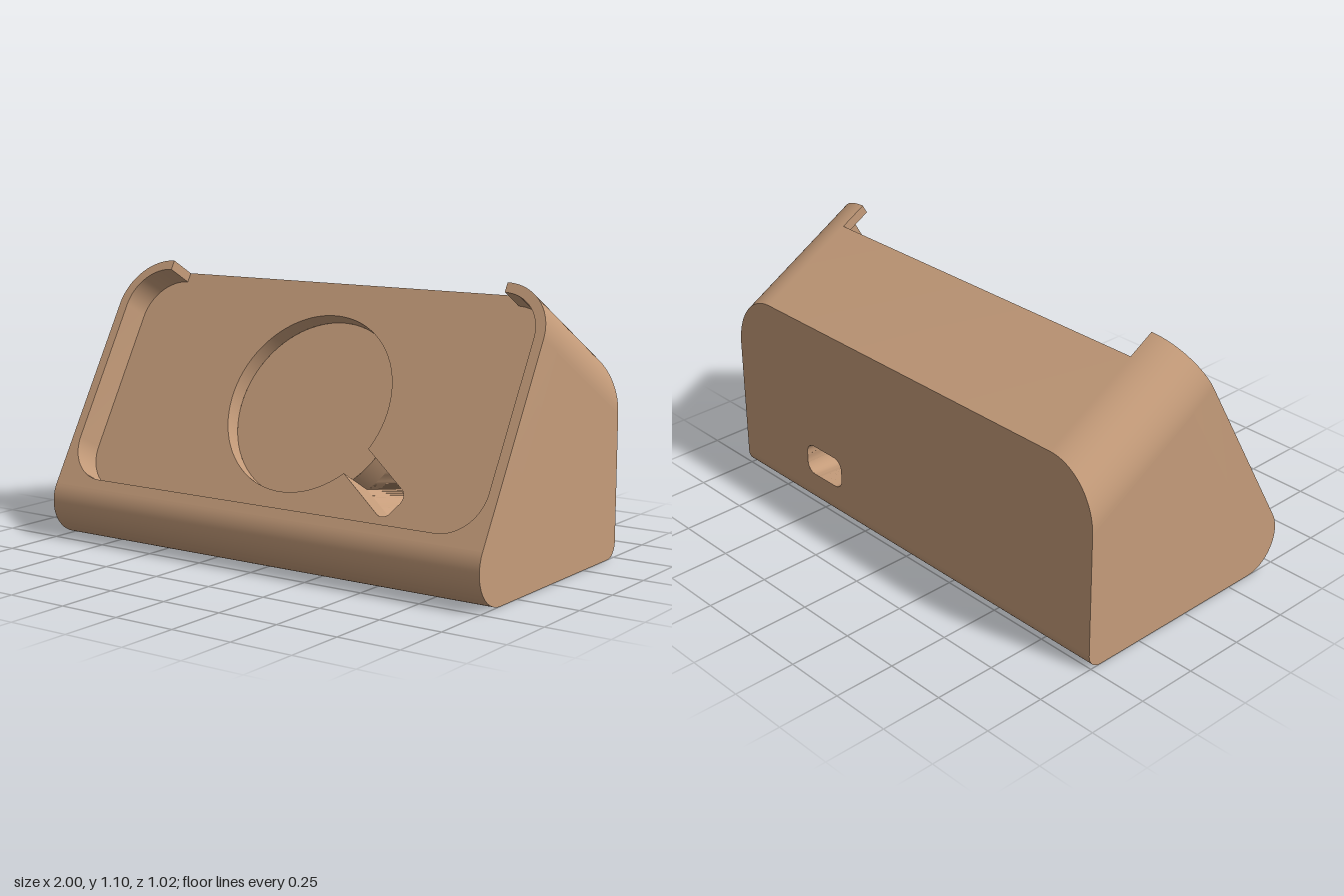
import * as THREE from 'three';
import { toCreasedNormals } from 'three/addons/utils/BufferGeometryUtils.js';

const TILT = Math.PI / 6, C = Math.cos(TILT), S = Math.sin(TILT);
const TOP_Y = 1.095, TOP_Z = -0.015, BACK_Z = -0.51;   // top front edge, back plane
const R = 0.21, WALL = 0.04, LEDGE = -1.01;            // corner radius, lip wall, lower end of the slope
const POCKET = 0.12, DISC = 0.19, SLOT = 0.3;          // depths below the sloping front
const V2 = (x, y) => new THREE.Vector2(x, y);

// point on the sloping front: x, v up the slope, d depth into the body
const onSlope = (x, v, d) => new THREE.Vector3(x, TOP_Y + C * v - S * d, TOP_Z - S * v - C * d);
const atDepth = (pts, d) => pts.map(p => onSlope(p.x, p.y, d));

function arc(cx, cy, r, a0, a1, n = 24) {
  return Array.from({ length: n + 1 }, (_, i) => {
    const a = a0 + (a1 - a0) * i / n;
    return V2(cx + r * Math.cos(a), cy + r * Math.sin(a));
  });
}

// ruled surface between two rows of points
function strip(a, b) {
  const pos = [], index = [], n = a.length;
  for (const p of [...a, ...b]) pos.push(p.x, p.y, p.z);
  for (let i = 0; i < n - 1; i++) index.push(i, i + 1, n + i, i + 1, n + i + 1, n + i);
  const g = new THREE.BufferGeometry();
  g.setAttribute('position', new THREE.Float32BufferAttribute(pos, 3));
  g.setIndex(index);
  return toCreasedNormals(g, 0.5);
}

export function createModel() {
  const model = new THREE.Group();
  model.name = 'phoneStand';
  const tan = new THREE.MeshStandardMaterial({ color: 0xc59c7a, side: THREE.DoubleSide });
  tan.name = 'tan';
  const front = new THREE.Group();
  front.name = 'slopingFront';
  front.position.set(0, TOP_Y, TOP_Z);
  front.rotation.x = -TILT;
  model.add(front);
  const add = (name, geometry, parent = model) => {
    const mesh = new THREE.Mesh(geometry, tan);
    mesh.name = name;
    parent.add(mesh);
    return mesh;
  };

  const PI = Math.PI, e = 1 - R, ri = R - WALL, low = -0.97 + ri;
  const topRight = arc(e, -R, R, 0, PI / 2), topLeft = arc(-e, -R, R, PI / 2, PI);
  const topOutline = [...topRight, ...topLeft];

  // raised lip around the pocket, open at the top
  const lip = new THREE.Shape([
    V2(-1, LEDGE), V2(1, LEDGE), ...topRight,
    ...arc(e, -R, ri, PI / 2, 0), ...arc(e, low, ri, 0, -PI / 2),
    ...arc(-e, low, ri, -PI / 2, -PI), ...arc(-e, -R, ri, PI, PI / 2),
    ...topLeft
  ]);
  const lipGeo = new THREE.ExtrudeGeometry(lip, { depth: POCKET, bevelEnabled: false });
  lipGeo.translate(0, 0, -POCKET);
  add('lip', toCreasedNormals(lipGeo, 0.5), front);

  // charger recess and cable slot, drawn along the slot and then turned
  const cv = -0.505, r = 0.368, w = 0.065, end = 0.64, f = 0.04, turn = -35 * PI / 180;
  const b = Math.asin(w / r);
  const place = pts => pts.map(p => p.clone().rotateAround(V2(0, 0), turn).add(V2(0, cv)));
  const rim = place(arc(0, 0, r, b, 2 * PI - b, 72));
  const slotSides = place([
    V2(r * Math.cos(b), -w), ...arc(end - f, -w + f, f, -PI / 2, 0, 8),
    ...arc(end - f, w - f, f, 0, PI / 2, 8), V2(r * Math.cos(b), w)
  ]);
  const slotLoop = [...slotSides, ...place(arc(0, 0, r, b, -b, 10)).slice(1)];

  // pocket floor with the keyhole opening
  const floor = new THREE.Shape([V2(-1, LEDGE), V2(1, LEDGE), ...topOutline]);
  floor.holes.push(new THREE.Path([...slotSides, ...rim.slice(1, -1)]));
  add('pocketFloor', new THREE.ShapeGeometry(floor), front).position.z = -POCKET;

  add('recessWall', strip(atDepth(rim, DISC), atDepth(rim, POCKET)));
  add('recessFloor', new THREE.CircleGeometry(r, 72), front).position.set(0, cv, -DISC);
  add('slotSides', strip(atDepth(slotSides, DISC), atDepth(slotSides, POCKET)));
  add('slotWall', strip(atDepth(slotLoop, SLOT), atDepth(slotLoop, DISC)));

  // cable tunnel narrowing from the slot to the back opening
  const hx = 0.482, hy = 0.205, hw = 0.107, hh = 0.065, hr = 0.042;
  const opening = [
    V2(hx - hw, hy),
    ...arc(hx - hw + hr, hy - hh + hr, hr, PI, 1.5 * PI, 8),
    ...arc(hx + hw - hr, hy - hh + hr, hr, -PI / 2, 0, 8),
    ...arc(hx + hw - hr, hy + hh - hr, hr, 0, PI / 2, 8),
    ...arc(hx - hw + hr, hy + hh - hr, hr, PI / 2, PI, 8)
  ];
  const spaced = pts => new THREE.Path([...pts, pts[0]]).getSpacedPoints(64);
  add('cableTunnel', strip(
    spaced(opening).map(p => new THREE.Vector3(p.x, p.y, BACK_Z)),
    atDepth(spaced(slotLoop), SLOT)
  ));

  // top surface with rounded shoulders, running to the back plane
  const topFront = atDepth(topOutline, POCKET);
  const topBack = topOutline.map(p => onSlope(p.x, p.y, (TOP_Z - S * p.y - BACK_Z) / C));
  add('top', strip(topFront, topBack));

  // underside with rounded front and back edges; profile is (z, y)
  const rf = 0.147, rb = 0.06;
  const under = [
    ...arc(0.51 - rf, rf, rf, TILT, -PI / 2, 32),
    ...arc(BACK_Z + rb, rb, rb, -PI / 2, -PI, 12)
  ];
  const row = x => under.map(p => new THREE.Vector3(x, p.y, p.x));
  add('underside', strip(row(-1), row(1)));

  // back panel with the cable opening (mirrored, as it is turned to face back)
  const back = new THREE.Shape([V2(-1, rb), V2(1, rb), ...topBack.map(p => V2(p.x, p.y))]);
  back.holes.push(new THREE.Path(opening.map(p => V2(-p.x, p.y))));
  const backMesh = add('backPanel', new THREE.ShapeGeometry(back));
  backMesh.rotation.y = PI;
  backMesh.position.z = BACK_Z;

  // flat side panels behind the lip
  const zy = p => V2(p.z, p.y);
  const side = new THREE.Shape([
    ...under, zy(topBack[0]), zy(topFront[0]), zy(onSlope(1, LEDGE, POCKET))
  ]);
  for (const s of [-1, 1]) {
    const panel = add(s > 0 ? 'leftSide' : 'rightSide', new THREE.ShapeGeometry(side));
    panel.rotation.y = -PI / 2;
    panel.position.x = s;
  }
  return model;
}
